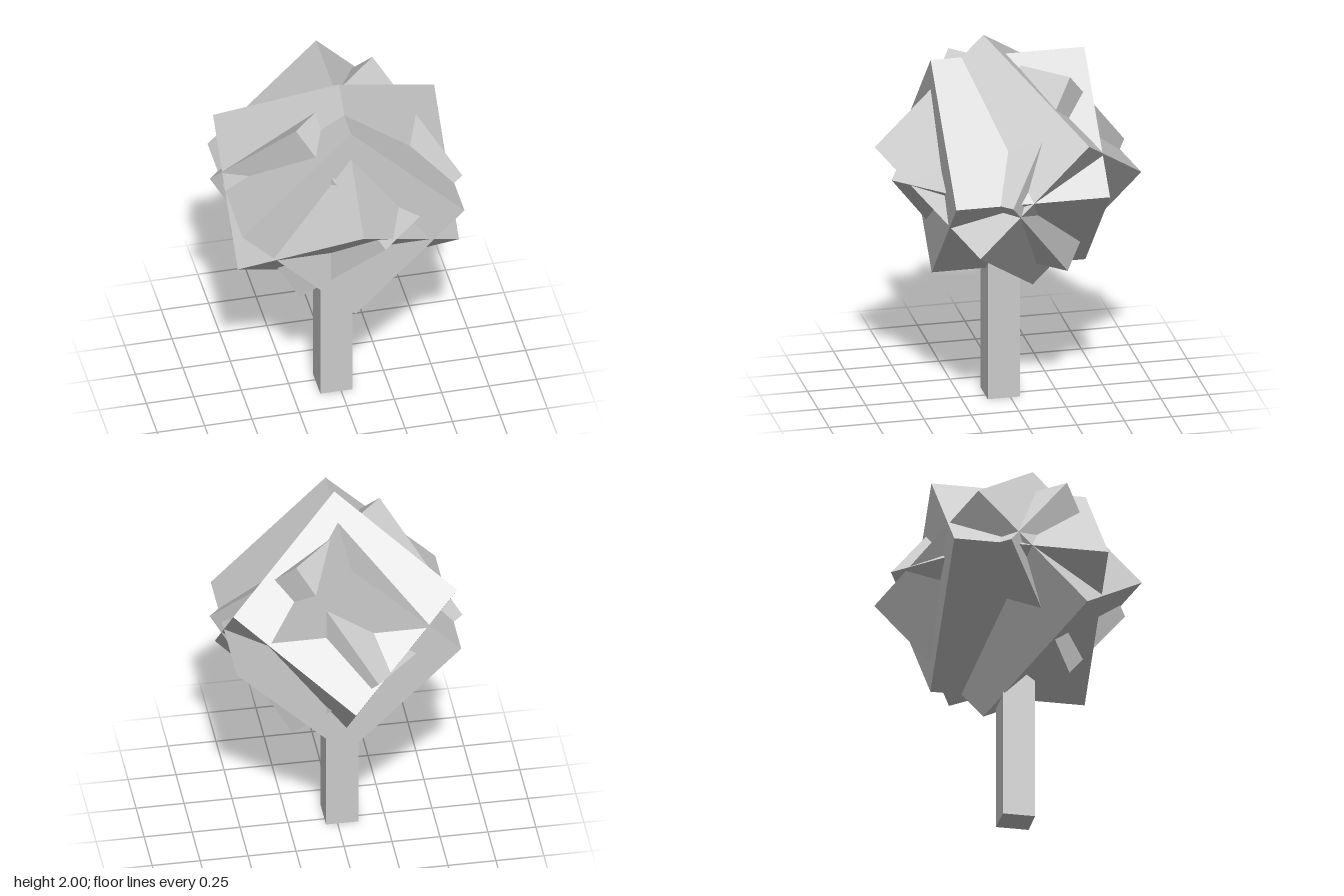
import * as THREE from 'three';

export function createModel() {
  const group = new THREE.Group();
  group.name = 'tree';
  const material = new THREE.MeshStandardMaterial({ color: 0xcccccc, flatShading: true });

  const addBlock = (name, size, position, rotation = [0, 0, 0]) => {
    const mesh = new THREE.Mesh(new THREE.BoxGeometry(...size), material);
    mesh.name = name;
    mesh.position.set(...position);
    mesh.rotation.set(...rotation);
    group.add(mesh);
  };

  // Square trunk, reaching up into the crown
  const trunkHeight = 0.95;
  addBlock('trunk', [0.17, trunkHeight, 0.17], [-0.025, trunkHeight / 2, 0.035]);

  // Crown: three blocks stood on edge, then tilted or turned about one centre
  const q = Math.PI / 4;
  const crown = [
    { name: 'foliageUpright', scale: 1, rotation: [0, 0, q] },
    { name: 'foliageTilted', scale: 1, rotation: [q, 0, q] },
    { name: 'foliageTurned', scale: 0.913, rotation: [0, -q, q] },
  ];
  for (const { name, scale, rotation } of crown) {
    const size = [0.81, 0.845, 0.81].map((s) => s * scale);
    addBlock(name, size, [0, 1.297, 0], rotation);
  }
  return group;
}
